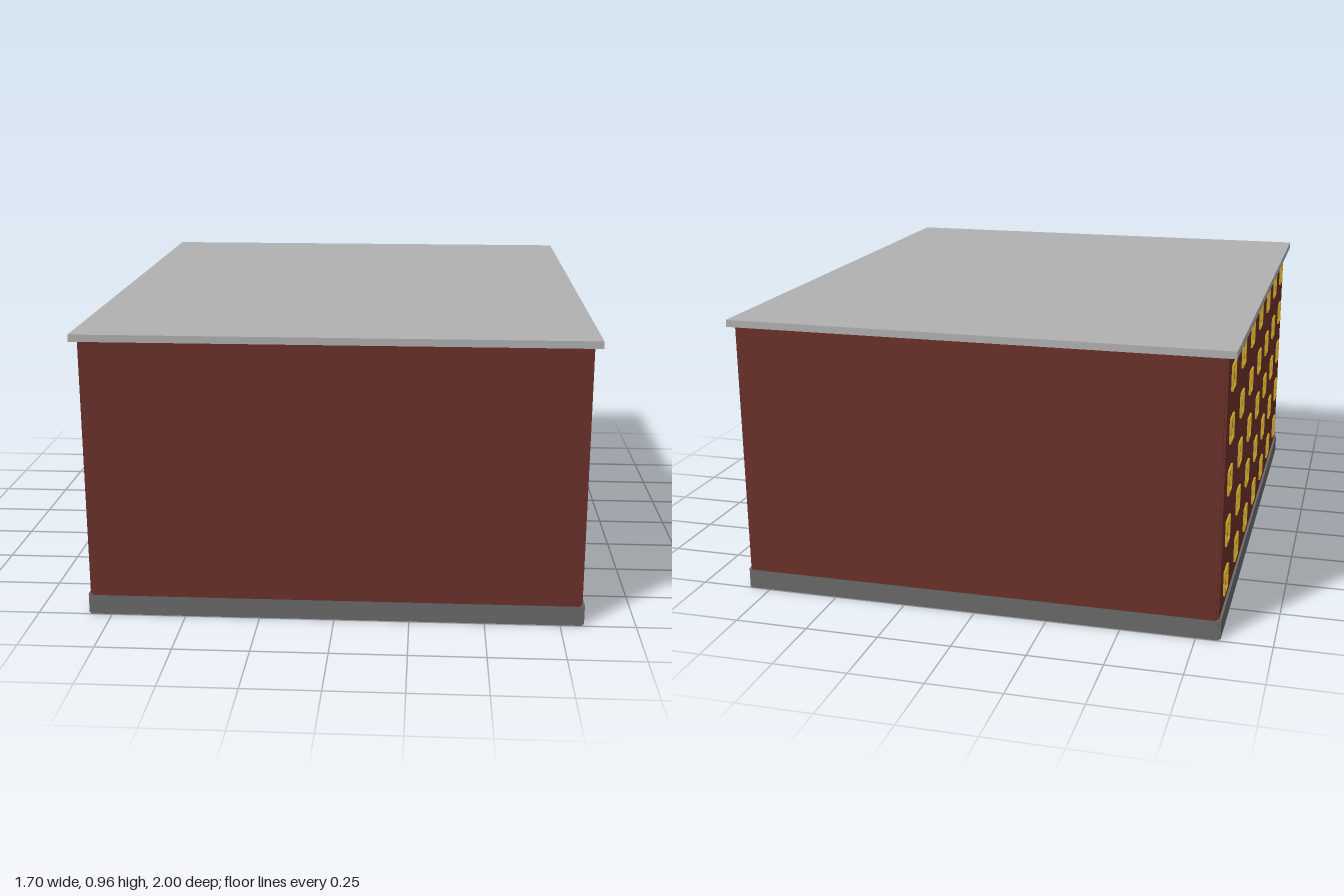
import * as THREE from 'three';

const mat = (color) => new THREE.MeshStandardMaterial({ color });

export function createModel() {
  const model = new THREE.Group();
  const brick = mat(0x6b312a), stone = mat(0x6a6a6a), roofGrey = mat(0xb0b0b0);
  const yellow = mat(0xc9a227), dark = mat(0x202020);

  const box = (name, w, h, d, x, y, z, material, parent = model) => {
    const mesh = new THREE.Mesh(new THREE.BoxGeometry(w, h, d), material);
    mesh.name = name;
    mesh.position.set(x, y, z);
    parent.add(mesh);
    return mesh;
  };

  // Plinth, brick body and the slightly narrower end walls
  box('plinth', 1.66, 0.068, 1.976, 0, 0.034, 0, stone);
  box('walls', 1.644, 0.872, 1.976, 0, 0.504, 0, brick);
  for (const s of [-1, 1]) {
    box('endPlinth', 1.646, 0.068, 0.012, 0, 0.034, s * 0.992, stone);
    box('endWall', 1.63, 0.872, 0.012, 0, 0.504, s * 0.992, brick);
  }

  // Flat overhanging roof
  box('roof', 1.696, 0.024, 2, 0, 0.952, 0, roofGrey);

  // Square window frame with a hole, facing +z
  const size = 0.084, rim = 0.006;
  const square = (Type, h) => new Type([[-h, -h], [h, -h], [h, h], [-h, h]].map((p) => new THREE.Vector2(...p)));
  const outline = square(THREE.Shape, size / 2);
  outline.holes.push(square(THREE.Path, size / 2 - rim));
  const frameGeo = new THREE.ExtrudeGeometry(outline, { depth: 0.012, bevelEnabled: false });

  // Dark openings, keyed by "column,row": lower and upper fraction of the window
  const inner = size - 2 * rim;
  const openings = {
    '0,1': [0, 1], '3,1': [0, 0.42], '4,1': [0, 0.56], '5,1': [0, 0.78], '5,0': [0.3, 1],
  };

  // Two mirrored-by-rotation facades of seven columns and five rows
  for (const s of [1, -1]) {
    const facade = new THREE.Group();
    facade.name = s > 0 ? 'leftWindows' : 'rightWindows';
    facade.rotation.y = s * Math.PI / 2;
    for (let col = 0; col < 7; col++) {
      for (let row = 0; row < 5; row++) {
        const x = -0.86 + col * 0.2863, y = 0.155 + row * 0.174;
        const frame = new THREE.Mesh(frameGeo, yellow);
        frame.name = 'windowFrame';
        frame.position.set(x, y, 0.817);
        facade.add(frame);
        const span = col === 6 ? [0, 1] : s > 0 && openings[`${col},${row}`];
        if (span) {
          const h = (span[1] - span[0]) * inner;
          const midY = y + ((span[0] + span[1]) / 2 - 0.5) * inner;
          box('windowGlass', inner, h, 0.004, x, midY, 0.8215, dark, facade);
        }
      }
    }
    model.add(facade);
  }
  return model;
}
